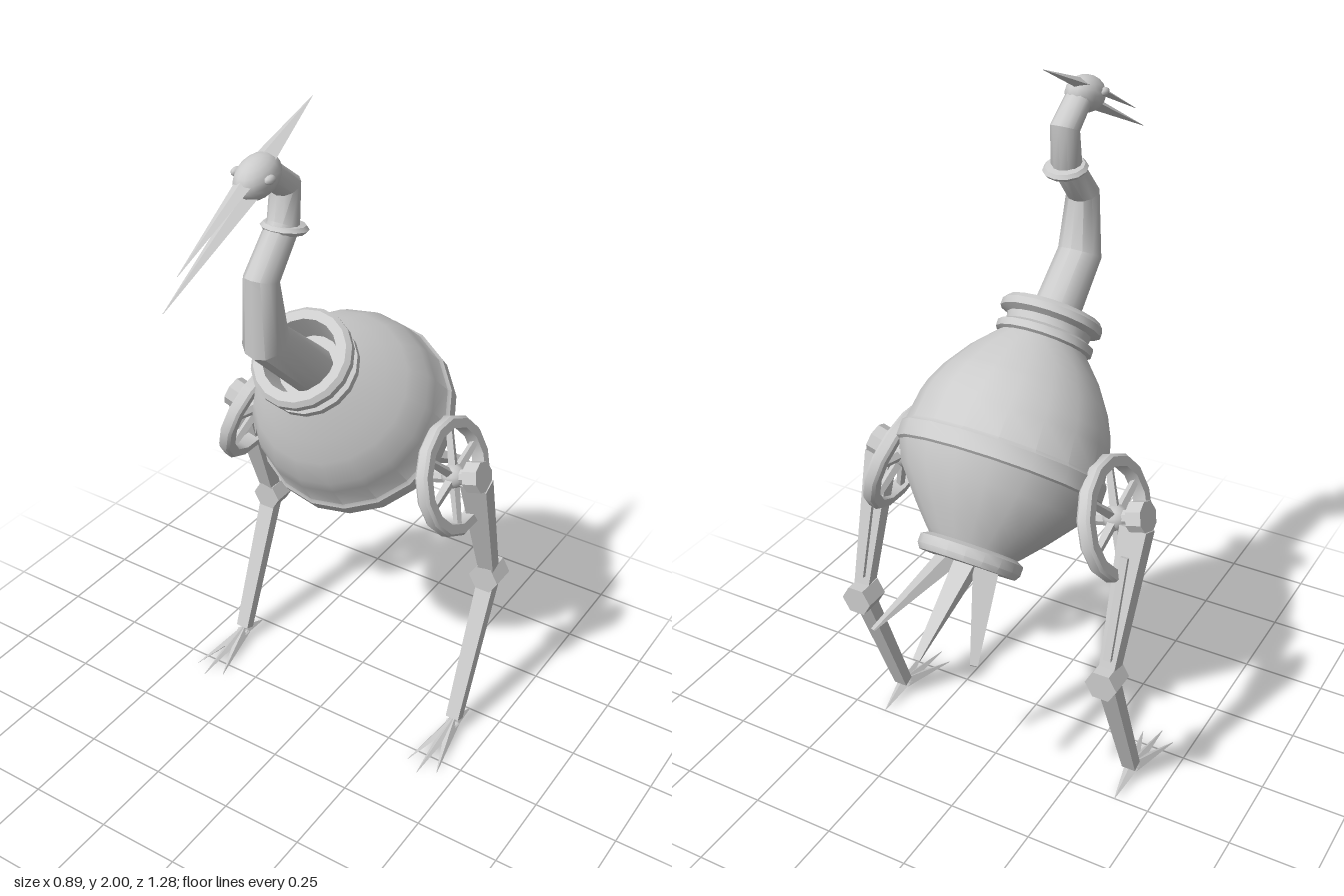
import * as THREE from 'three';
import { toCreasedNormals } from 'three/addons/utils/BufferGeometryUtils.js';

const metal = new THREE.MeshStandardMaterial({ color: 0xcccccc });
metal.name = 'plain grey';
const V = (x, y, z) => new THREE.Vector3(x, y, z);
const UP = V(0, 1, 0);

function add(parent, name, geometry, position = V(0, 0, 0)) {
  const mesh = new THREE.Mesh(geometry, metal);
  mesh.name = name;
  mesh.position.copy(position);
  parent.add(mesh);
  return mesh;
}

// Place a y-aligned geometry between two points
function span(parent, name, geometry, a, b) {
  const mesh = add(parent, name, geometry, a.clone().add(b).multiplyScalar(0.5));
  mesh.quaternion.setFromUnitVectors(UP, b.clone().sub(a).normalize());
  return mesh;
}

// Bar from a to b with [width, depth] at each end
function bar(parent, name, a, b, [w0, d0], [w1, d1]) {
  const g = new THREE.BoxGeometry(1, a.distanceTo(b), 1);
  const p = g.attributes.position;
  for (let i = 0; i < p.count; i++) {
    const end = p.getY(i) > 0;
    p.setX(i, p.getX(i) * (end ? w1 : w0));
    p.setZ(i, p.getZ(i) * (end ? d1 : d0));
  }
  const flat = g.toNonIndexed();
  flat.computeVertexNormals();
  return span(parent, name, flat, a, b);
}

// Thin faceted spike, flattened by depth
function spike(parent, name, a, b, radius, depth, tip = 0.001) {
  const g = new THREE.CylinderGeometry(tip, radius, a.distanceTo(b), 4).scale(1, 1, depth);
  return span(parent, name, toCreasedNormals(g, 0.3), a, b);
}

function lathe(profile, segments) {
  const g = new THREE.LatheGeometry(profile.map(([r, y]) => new THREE.Vector2(r, y)), segments);
  return toCreasedNormals(g, 0.6);
}

// Bent tube in the x = 0 plane, one ring per path point [y, z, radius]
function neckGeometry(path, sides = 12) {
  const pos = [], index = [];
  path.forEach(([y, z, r], i) => {
    const a = path[Math.max(i - 1, 0)], b = path[Math.min(i + 1, path.length - 1)];
    const t = V(0, b[0] - a[0], b[1] - a[1]).normalize();
    const side = V(1, 0, 0), out = t.clone().cross(side);
    for (let j = 0; j < sides; j++) {
      const q = (j / sides) * Math.PI * 2;
      const v = V(0, y, z).addScaledVector(side, r * Math.cos(q)).addScaledVector(out, r * Math.sin(q));
      pos.push(v.x, v.y, v.z);
      if (i) {
        const k = (j + 1) % sides, lo = (i - 1) * sides, hi = i * sides;
        index.push(lo + j, lo + k, hi + k, lo + j, hi + k, hi + j);
      }
    }
  });
  const g = new THREE.BufferGeometry();
  g.setAttribute('position', new THREE.Float32BufferAttribute(pos, 3));
  g.setIndex(index);
  return toCreasedNormals(g, 0.7);
}

function buildBody(model) {
  // Tilted jar with a foot ring, raised bands and an open mouth
  const body = new THREE.Group();
  body.name = 'body';
  body.position.set(0, 0.77, -0.38);
  body.rotation.x = 0.724;
  model.add(body);
  add(body, 'jar', lathe([
    [0, 0], [0.135, 0], [0.145, 0.015], [0.145, 0.04], [0.125, 0.05], [0.135, 0.06],
    [0.185, 0.115], [0.255, 0.2], [0.282, 0.26], [0.292, 0.265], [0.292, 0.31], [0.283, 0.32],
    [0.272, 0.40], [0.262, 0.435], [0.236, 0.49], [0.226, 0.505], [0.185, 0.565], [0.125, 0.63],
    [0.137, 0.635], [0.137, 0.655], [0.117, 0.665], [0.12, 0.685], [0.144, 0.695], [0.144, 0.715],
    [0.132, 0.728], [0.105, 0.728], [0.09, 0.65], [0, 0.65]], 18));

  // Tail of three flat blades
  for (const s of [-1, 0, 1]) {
    bar(model, 'tailFeather', V(s * 0.05, 0.785, -0.36), V(s * 0.155, 0.63 + Math.abs(s) * 0.02, -0.64 + Math.abs(s) * 0.03),
      [0.065, 0.045], [0.02, 0.004]);
  }
}

function buildNeckAndHead(model) {
  add(model, 'neck', neckGeometry([
    [1.25, 0.05, 0.068], [1.43, 0.25, 0.062], [1.605, 0.262, 0.046],
    [1.715, 0.165, 0.042], [1.815, 0.155, 0.04], [1.88, 0.24, 0.036]]));
  // Collar on the neck
  const collar = add(model, 'neckCollar', lathe([
    [0.035, -0.012], [0.054, -0.01], [0.062, 0], [0.054, 0.01], [0.035, 0.012]], 12), V(0, 1.705, 0.16));
  collar.rotation.x = -0.2;

  const head = add(model, 'head', new THREE.SphereGeometry(0.05, 14, 10).scale(1, 1, 1.5), V(0, 1.875, 0.268));
  head.rotation.x = 0.25;
  for (const s of [-1, 1]) {
    add(model, 'eye', new THREE.SphereGeometry(0.016, 8, 6).scale(0.7, 0.7, 1.2), V(s * 0.048, 1.883, 0.285));
  }
  spike(model, 'upperBeak', V(0, 1.882, 0.31), V(0, 1.745, 0.583), 0.026, 0.5);
  spike(model, 'lowerBeak', V(0, 1.848, 0.29), V(0, 1.677, 0.64), 0.03, 0.6);
  spike(model, 'crest', V(0, 1.905, 0.25), V(0, 2.0, 0.035), 0.032, 0.5);
}

function buildLeg(model, s) {
  const leg = new THREE.Group();
  leg.name = s > 0 ? 'leftLeg' : 'rightLeg';
  model.add(leg);
  const x = s * 0.395;

  // Spoked wheel leaning against the body, local y is the axle
  const wheel = new THREE.Group();
  wheel.name = 'hipWheel';
  wheel.position.set(s * 0.333, 0.905, -0.17);
  wheel.rotation.z = -s * 1.27;
  leg.add(wheel);
  add(wheel, 'rim', lathe([[0.138, -0.02], [0.165, -0.02], [0.172, -0.012], [0.172, 0.012],
    [0.165, 0.02], [0.138, 0.02], [0.138, -0.02]], 14));
  for (let i = 0; i < 6; i++) {
    const q = (i / 6) * Math.PI * 2 + 0.26;
    bar(wheel, 'spoke', V(0, 0, 0), V(Math.cos(q) * 0.145, 0, Math.sin(q) * 0.145), [0.022, 0.022], [0.016, 0.016]);
  }
  add(wheel, 'hub', new THREE.SphereGeometry(0.036, 10, 8));
  add(wheel, 'axle', toCreasedNormals(new THREE.CylinderGeometry(0.022, 0.022, 0.16, 8), 0.3), V(0, 0.01, 0));
  add(wheel, 'axleCap', toCreasedNormals(new THREE.CylinderGeometry(0.046, 0.046, 0.045, 8), 0.3), V(0, 0.075, 0));

  // Thigh, rear rod, knee and shin
  bar(leg, 'thigh', V(s * 0.4, 0.9, -0.18), V(x, 0.5, -0.315), [0.08, 0.05], [0.045, 0.042]);
  bar(leg, 'thighRod', V(x, 0.84, -0.24), V(x, 0.56, -0.325), [0.022, 0.012], [0.022, 0.012]);
  const knee = add(leg, 'knee', toCreasedNormals(new THREE.CylinderGeometry(0.047, 0.047, 0.078, 6), 0.3), V(s * 0.393, 0.493, -0.32));
  knee.rotation.set(Math.PI / 2, 0, Math.PI / 2, 'ZYX');
  bar(leg, 'shin', V(x, 0.48, -0.315), V(x, 0.05, -0.145), [0.054, 0.04], [0.042, 0.034]);

  // Three front toes and one back toe
  const ankle = V(x, 0.035, -0.14);
  for (const [dx, z] of [[-0.05, 0.047], [0, 0.08], [0.05, 0.047], [0, -0.25]]) {
    spike(leg, 'toe', ankle, V(x + dx, 0.003, z), 0.021, 0.8);
  }
}

export function createModel() {
  const model = new THREE.Group();
  model.name = 'mechanicalWadingBird';
  buildBody(model);
  buildNeckAndHead(model);
  for (const s of [-1, 1]) buildLeg(model, s);
  return model;
}
